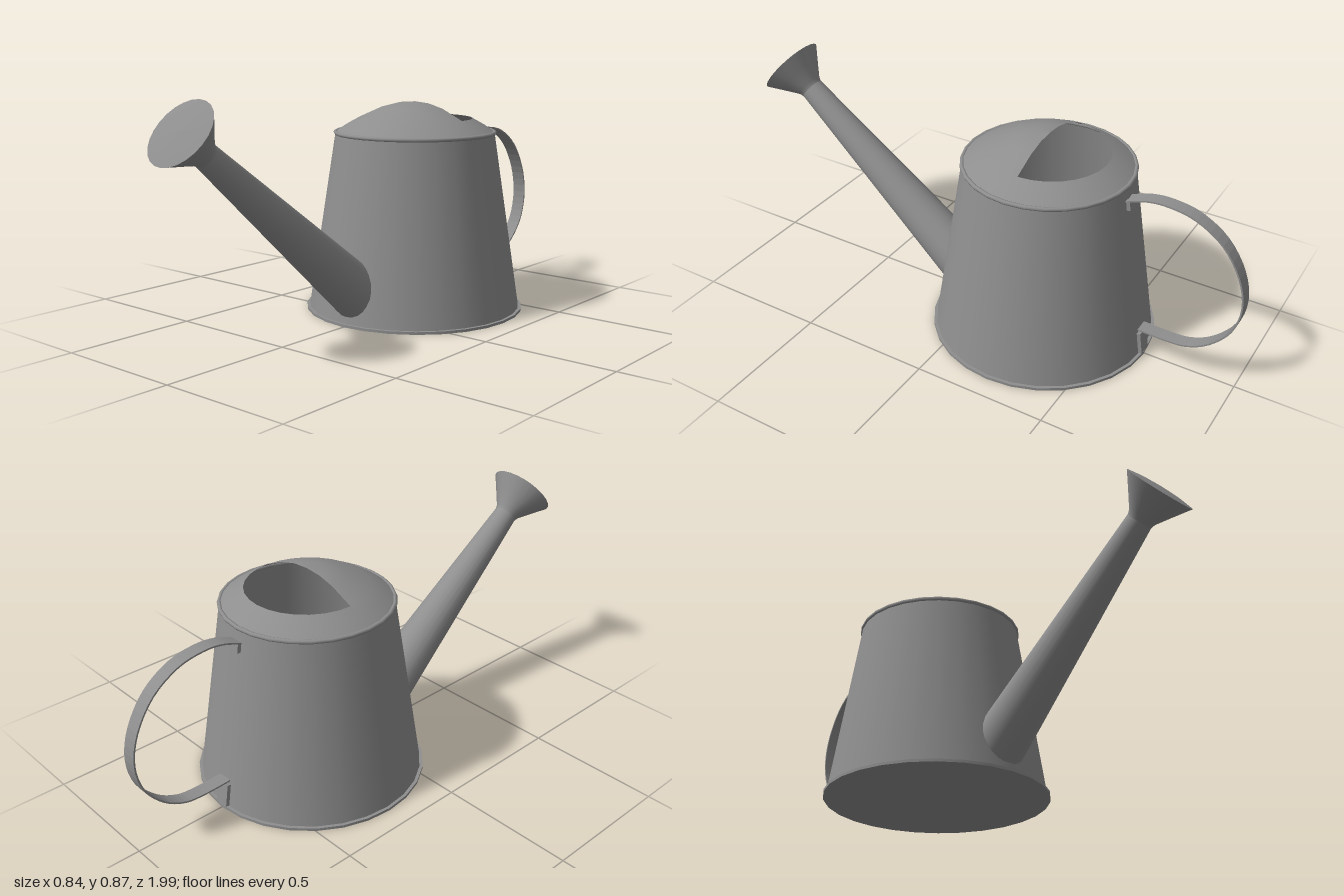
import * as THREE from 'three';

const BODY_Z = -0.235, BASE_R = 0.41, TOP_R = 0.305, TOP_Y = 0.685;
const wallRadius = (y) => BASE_R + (TOP_R - BASE_R) * (y / TOP_Y);
const v2 = (pts) => pts.map(([a, b]) => new THREE.Vector2(a, b));

export function createModel() {
  const group = new THREE.Group();
  group.name = 'wateringCan';
  const metal = new THREE.MeshStandardMaterial({ color: 0x8e8e8e, side: THREE.DoubleSide });
  metal.name = 'grey metal';

  const add = (name, geometry, x = 0, y = 0, z = 0) => {
    const mesh = new THREE.Mesh(geometry, metal);
    mesh.name = name;
    mesh.position.set(x, y, z);
    group.add(mesh);
    return mesh;
  };

  // Tapered body, open at the top, on a thin base plate
  add('body', new THREE.CylinderGeometry(TOP_R, BASE_R, TOP_Y, 28, 1, true), 0, TOP_Y / 2, BODY_Z);
  add('basePlate', new THREE.CylinderGeometry(0.42, 0.42, 0.01, 28), 0, 0.005, BODY_Z);
  const rim = new THREE.TorusGeometry(TOP_R, 0.008, 8, 28);
  rim.rotateX(Math.PI / 2);
  add('topRim', rim, 0, 0.683, BODY_Z);

  // Domed lid: full in front, only an outer band behind, leaving a half-round opening
  const dome = [[0.305, 0.685], [0.265, 0.712], [0.22, 0.737], [0.13, 0.778], [0.065, 0.795], [0, 0.8]];
  add('lidFront', new THREE.LatheGeometry(v2(dome), 14, -Math.PI / 2, Math.PI), 0, 0, BODY_Z);
  add('lidBack', new THREE.LatheGeometry(v2(dome.slice(0, 3)), 14, Math.PI / 2, Math.PI), 0, 0, BODY_Z);

  // Spout: tapered tube whose lower end is slid along its sides onto the body wall
  const start = new THREE.Vector3(0, 0.09, 0.08), end = new THREE.Vector3(0, 0.695, 0.825);
  const length = start.distanceTo(end);
  const tilt = Math.atan2(end.z - start.z, end.y - start.y);
  const sides = 24;
  const spout = new THREE.CylinderGeometry(0.045, 0.101, length, sides, 1, true);
  spout.translate(0, -length / 2, 0).rotateX(tilt).translate(end.x, end.y, end.z);
  const pos = spout.attributes.position;
  for (let i = 0; i <= sides; i++) {
    const top = new THREE.Vector3().fromBufferAttribute(pos, i);
    const low = new THREE.Vector3().fromBufferAttribute(pos, i + sides + 1);
    let inside = 0, outside = 1;
    const p = new THREE.Vector3();
    for (let k = 0; k < 24; k++) {
      const t = (inside + outside) / 2;
      p.lerpVectors(low, top, t);
      if (Math.hypot(p.x, p.z - BODY_Z) < wallRadius(p.y) - 0.004) inside = t;
      else outside = t;
    }
    pos.setXYZ(i + sides + 1, p.x, p.y, p.z);
  }
  add('spout', spout);

  // Sprinkler head: flared cone with a slightly bulging face
  const cone = new THREE.LatheGeometry(v2([[0.045, -0.004], [0.05, 0.012], [0.084, 0.06], [0.126, 0.118]]), sides);
  const face = new THREE.LatheGeometry(v2([[0.126, 0.118], [0.08, 0.124], [0, 0.128]]), sides);
  add('sprinklerCone', cone, end.x, end.y, end.z).rotation.x = tilt;
  add('sprinklerFace', face, end.x, end.y, end.z).rotation.x = tilt;

  // Handle: flat strip bent along a curve in the z-y plane
  const path = new THREE.SplineCurve(v2([
    [-0.545, 0.638], [-0.62, 0.664], [-0.7, 0.669], [-0.8, 0.648], [-0.9, 0.582], [-0.97, 0.475],
    [-0.995, 0.36], [-0.97, 0.25], [-0.9, 0.165], [-0.82, 0.121], [-0.74, 0.112], [-0.632, 0.115]]));
  const width = 0.054, thick = 0.006, outer = [], inner = [];
  for (let i = 0; i <= 44; i++) {
    const p = path.getPoint(i / 44), t = path.getTangent(i / 44);
    outer.push(p);
    inner.unshift(new THREE.Vector2(p.x - t.y * thick, p.y + t.x * thick));
  }
  const strip = new THREE.ExtrudeGeometry(new THREE.Shape([...outer, ...inner]), { depth: width, bevelEnabled: false });
  strip.rotateY(-Math.PI / 2);
  add('handle', strip, width / 2);

  // Tabs fixing the handle to the wall
  const lean = Math.atan2(BASE_R - TOP_R, TOP_Y);
  for (const [name, y, h] of [['upperTab', 0.622, 0.036], ['lowerTab', 0.058, 0.085]]) {
    const tab = add(name, new THREE.BoxGeometry(width, h, 0.014), 0, y, BODY_Z - wallRadius(y) - 0.007);
    tab.rotation.x = lean;
  }
  return group;
}
